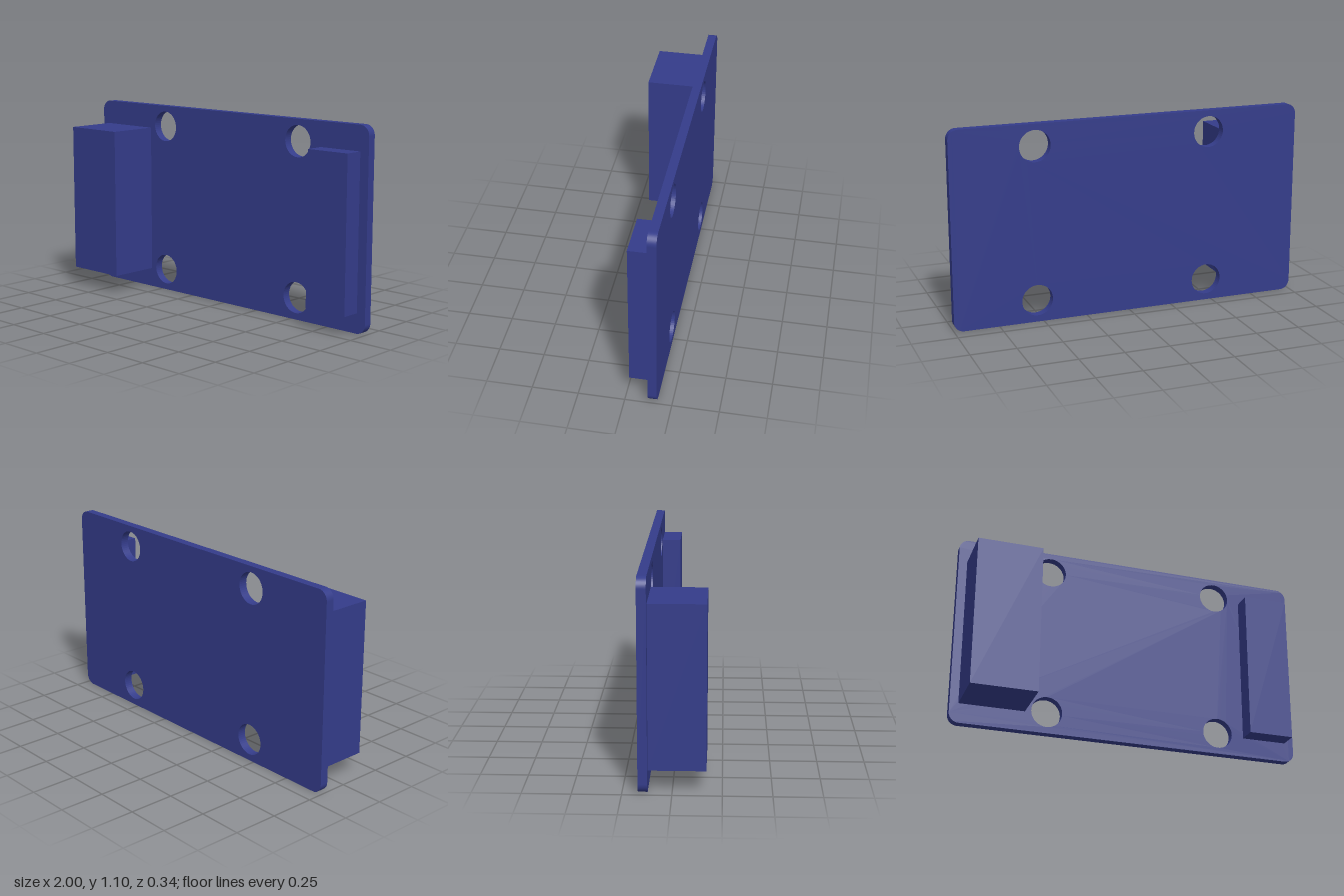
import * as THREE from 'three';

const BACK = -0.17, FACE = -0.122; // z of the plate's two sides
const HEIGHT = 1.1;

// Rounded rectangle spanning x -1..1 and y 0..HEIGHT
function plateOutline(r) {
  const s = new THREE.Shape();
  s.absarc(1 - r, r, r, -Math.PI / 2, 0, false);
  s.absarc(1 - r, HEIGHT - r, r, 0, Math.PI / 2, false);
  s.absarc(-1 + r, HEIGHT - r, r, Math.PI / 2, Math.PI, false);
  s.absarc(-1 + r, r, r, Math.PI, Math.PI * 1.5, false);
  s.closePath();
  return s;
}

export function createModel() {
  const group = new THREE.Group();
  group.name = 'mountingBoard';
  const material = new THREE.MeshStandardMaterial({ color: 0x343c8a });

  const add = (name, geometry) => {
    const mesh = new THREE.Mesh(geometry, material);
    mesh.name = name;
    group.add(mesh);
    return mesh;
  };

  // Plate with four round mounting holes
  const outline = plateOutline(0.055);
  for (const x of [-0.466, 0.534]) {
    for (const y of [0.123, 0.98]) {
      const hole = new THREE.Path();
      hole.absarc(x, y, 0.087, 0, Math.PI * 2, true);
      outline.holes.push(hole);
    }
  }
  const plate = add('plate', new THREE.ExtrudeGeometry(outline, {
    depth: FACE - BACK, bevelEnabled: false, curveSegments: 24,
  }));
  plate.position.z = BACK;

  // Connector blocks standing on the front face
  const addBlock = (name, x0, x1, front) => {
    const y0 = 0.111, y1 = 0.963;
    const block = add(name, new THREE.BoxGeometry(x1 - x0, y1 - y0, front - FACE));
    block.position.set((x0 + x1) / 2, (y0 + y1) / 2, (front + FACE) / 2);
  };
  addBlock('tallBlock', -0.952, -0.588, 0.17);
  addBlock('lowBlock', 0.69, 0.947, -0.015);

  return group;
}
